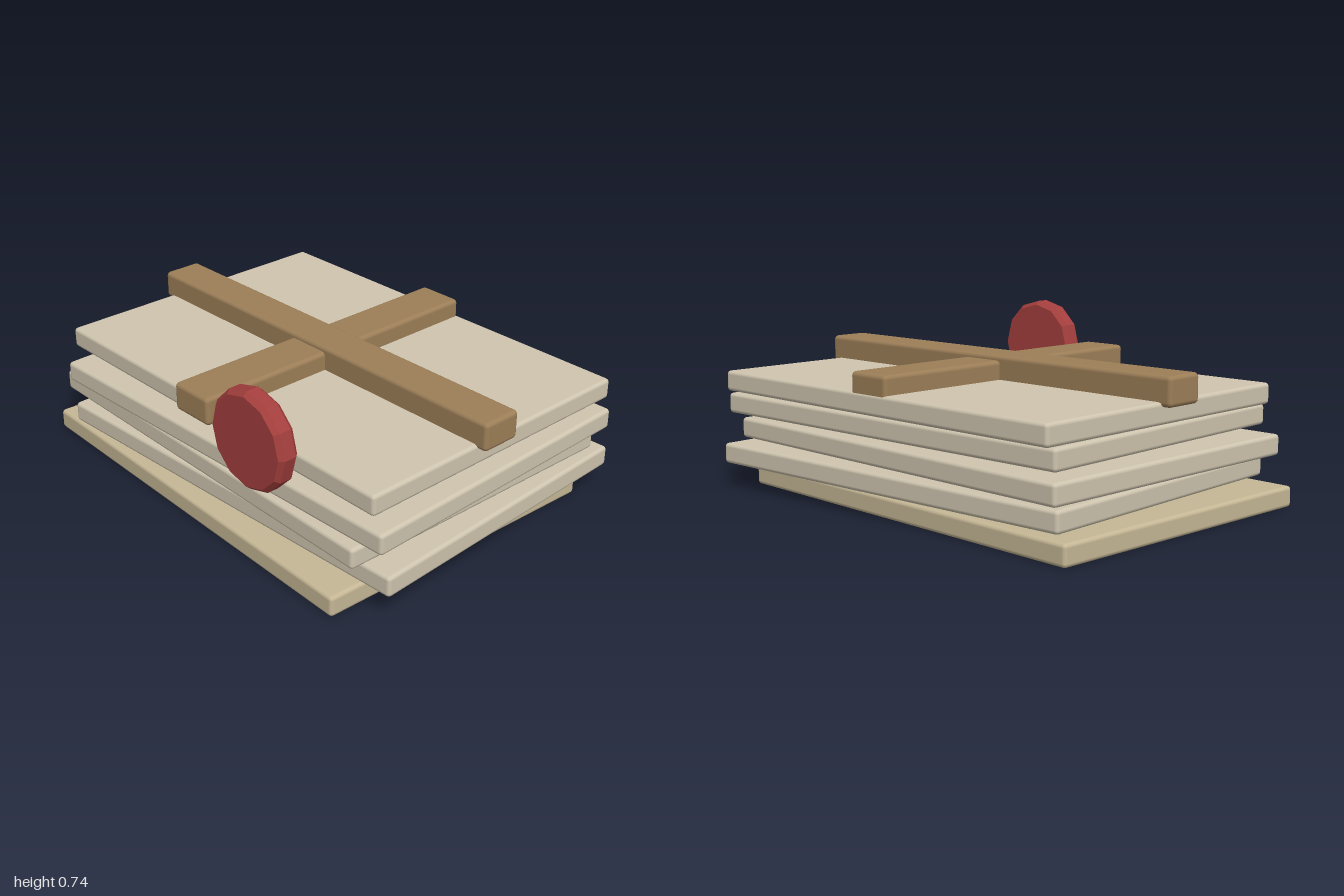
import * as THREE from 'three';
import { RoundedBoxGeometry } from 'three/addons/geometries/RoundedBoxGeometry.js';

const material = (color, flatShading = false) => new THREE.MeshStandardMaterial({ color, flatShading });

export function createModel() {
  const group = new THREE.Group();
  const paper = material(0xcfc5af);
  const agedPaper = material(0xc6b896);
  const strapBrown = material(0x9d7f58);
  const waxRed = material(0xa33f3d, true);

  // Softly bevelled slab, centred at (x, y, z) and turned about the vertical axis
  const slab = (name, size, position, mat, radius, turn = 0) => {
    const mesh = new THREE.Mesh(new RoundedBoxGeometry(...size, 2, radius), mat);
    mesh.name = name;
    mesh.position.set(...position);
    mesh.rotation.y = turn;
    group.add(mesh);
  };

  // Stack of slightly twisted letters: [x, z, turn], bottom to top
  const letters = [
    [-0.062, 0.025, -0.036],
    [0.04, -0.032, 0.045],
    [-0.022, -0.01, -0.02],
    [0.062, 0.007, 0.028],
    [0, -0.057, 0],
  ];
  letters.forEach(([x, z, turn], i) => {
    slab('letter' + (i + 1), [1.83, 0.086, 1.305], [x, 0.044 + i * 0.103, z],
      i === 0 ? agedPaper : paper, 0.016, turn);
  });

  // Crossed straps on top
  slab('longStrap', [1.91, 0.117, 0.175], [0, 0.538, -0.014], strapBrown, 0.018);
  slab('crossStrap', [0.2, 0.117, 1.375], [0, 0.517, -0.018], strapBrown, 0.018);

  // Twelve-sided wax seal with chamfered rims, facing the front
  const profile = [[0, -0.044], [0.183, -0.044], [0.2, -0.025], [0.2, 0.025], [0.183, 0.044], [0, 0.044]]
    .map(([r, y]) => new THREE.Vector2(r, y));
  const seal = new THREE.Mesh(new THREE.LatheGeometry(profile, 12), waxRed);
  seal.name = 'waxSeal';
  seal.rotation.x = Math.PI / 2;
  seal.position.set(0.39, 0.54, 0.683);
  group.add(seal);

  return group;
}
